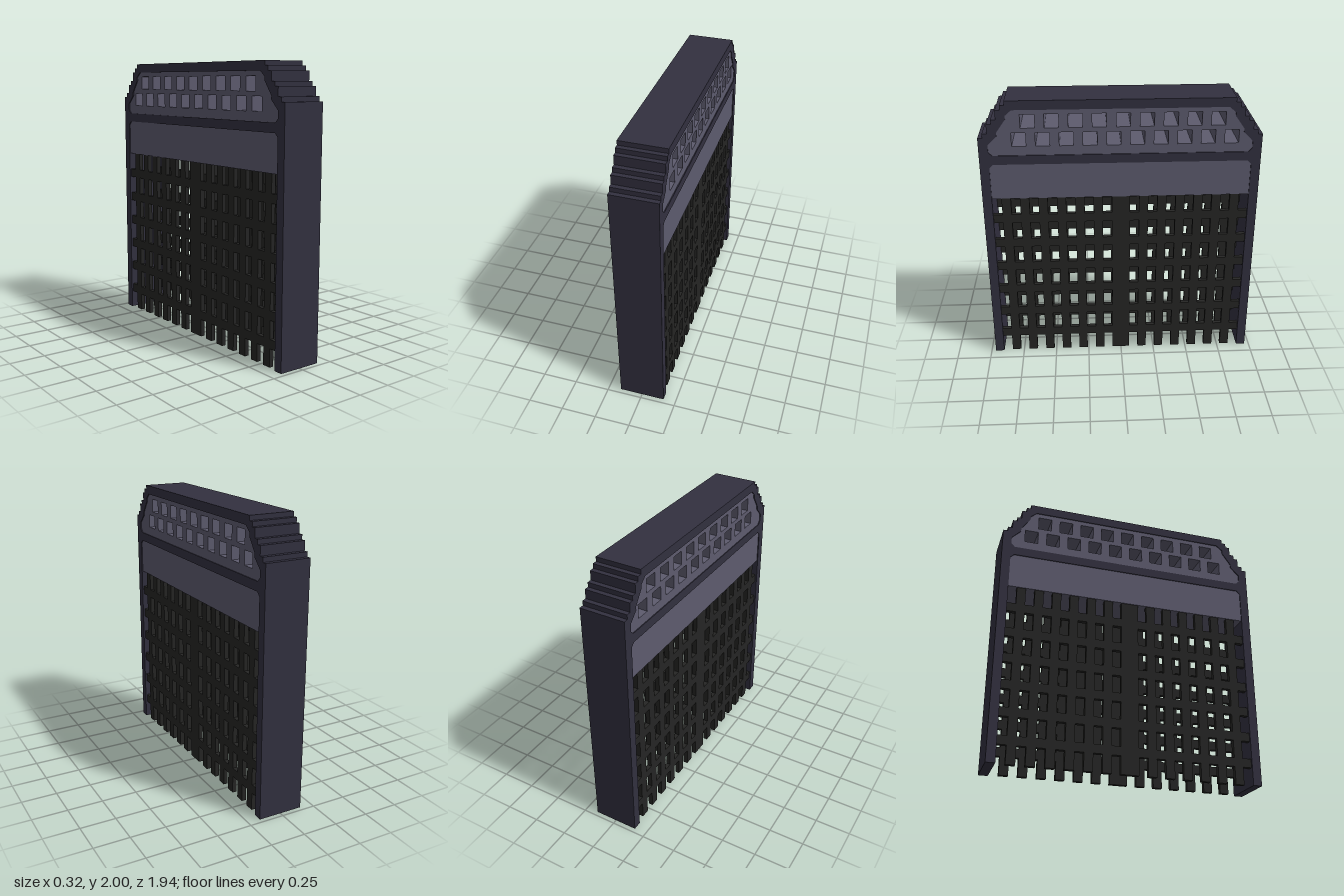
import * as THREE from 'three';

const U = 2 / 31;      // base block size
const DEPTH = 5;       // frame thickness in blocks

const mat = (name, color) => {
  const m = new THREE.MeshStandardMaterial({ color });
  m.name = name;
  return m;
};

// Closed outline from its right half, listed bottom to top
const mirrored = half => [...half, ...half.map(([a, y]) => [-a, y]).reverse()];
const points = list => list.map(([a, y]) => new THREE.Vector2(a * U, y * U));

// Extrudes a side profile (first axis runs along -z) across x, centred
function slab(name, outline, holes, depth, material) {
  const shape = new THREE.Shape(points(outline));
  for (const h of holes) shape.holes.push(new THREE.Path(points(h)));
  const geo = new THREE.ExtrudeGeometry(shape, { depth: depth * U, bevelEnabled: false });
  geo.translate(0, 0, -depth * U / 2);
  geo.rotateY(Math.PI / 2);
  const mesh = new THREE.Mesh(geo, material);
  mesh.name = name;
  return mesh;
}

export function createModel() {
  const frameMat = mat('dark slate', 0x32303f);
  const panelMat = mat('grey violet', 0x5d5b6e);
  const gridMat = mat('iron black', 0x252524);
  const model = new THREE.Group();
  model.name = 'gate';

  // Frame: stepped shoulders, open at the bottom
  const steps = [[15, 27], [14.5, 27.5], [14, 28.5], [13.5, 29], [13, 30], [12.5, 30.5], [12, 31]];
  const outer = [[15, 0]];
  steps.forEach(([a, y], i) => {
    outer.push([a, y]);
    if (i < steps.length - 1) outer.push([steps[i + 1][0], y]);
  });
  const doorway = [[-14, 0], [-14, 23.6], [-13.6, 24], [13.6, 24], [14, 23.6], [14, 0]];
  const window = mirrored([[13.6, 25], [14, 25.4], [14, 26.2], [13, 27.2], [13, 27.6], [12, 29], [12, 29.4], [11.3, 30]]);
  model.add(slab('frame', [...mirrored(outer), ...doorway], [window], DEPTH, frameMat));

  // Upper panel with two staggered rows of square holes
  const holes = [];
  for (const [count, start, y] of [[9, -10.5, 28], [10, -11.5, 26]]) {
    for (let i = 0; i < count; i++) {
      const a = start + i * 2.5;
      holes.push([[a, y], [a, y + 1.5], [a + 1.5, y + 1.5], [a + 1.5, y]]);
    }
  }
  model.add(slab('pierced panel', window, holes, DEPTH - 0.2, panelMat));

  // Plain lower panel
  const lower = mirrored([[14, 20], [14, 23.6], [13.6, 24]]);
  model.add(slab('plain panel', lower, [], DEPTH - 0.2, panelMat));

  // One lattice on each face
  const thick = 0.5, recess = 0.2;
  for (const side of [1, -1]) {
    const lattice = new THREE.Group();
    lattice.name = side > 0 ? 'leftLattice' : 'rightLattice';
    lattice.position.x = side * (DEPTH / 2 - recess - thick / 2) * U;
    const bar = (name, y, h, z, w) => {
      const mesh = new THREE.Mesh(new THREE.BoxGeometry(thick * U, h * U, w * U), gridMat);
      mesh.name = name;
      mesh.position.set(0, (y + h / 2) * U, z * U);
      lattice.add(mesh);
    };
    bar('centreBar', 0, 20, 0, 2);
    for (let k = 2.5; k < 14; k += 2) {
      bar('uprightBar', 0, 20, k, 1);
      bar('uprightBar', 0, 20, -k, 1);
    }
    for (let y = 2; y < 20; y += 3) bar('crossBar', y, 1, 0, 28);
    model.add(lattice);
  }
  return model;
}
